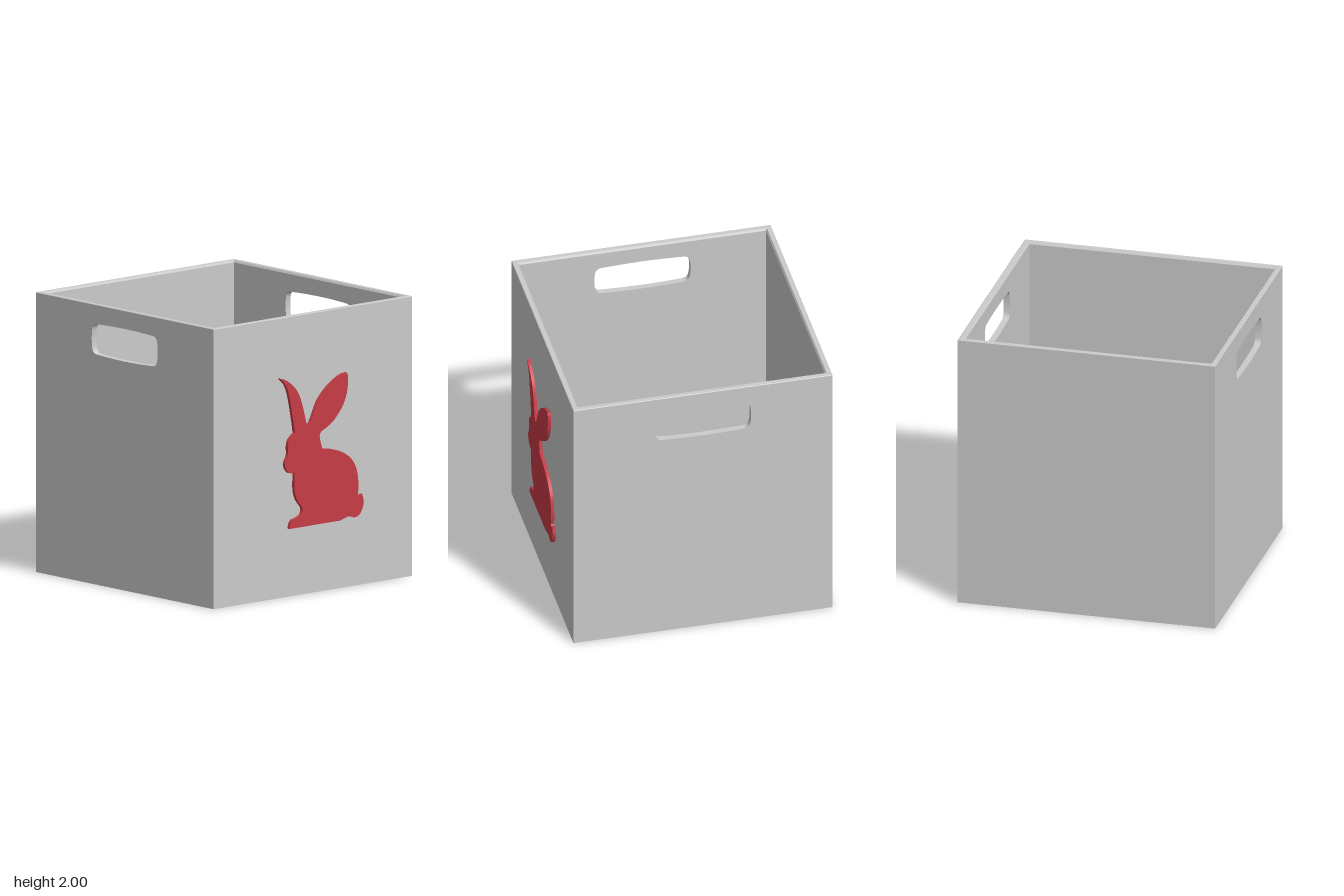
import * as THREE from 'three';

const HALF = 0.935;          // half width of the square box
const INNER = 0.89;          // half width of the cavity
const WALL = HALF - INNER;
const RIM = 1.985;           // height where the bevelled rim begins

const grey = new THREE.MeshStandardMaterial({ color: 0xcccccc });
const red = new THREE.MeshStandardMaterial({ color: 0xc83c46 });

function add(parent, name, geometry, material, x = 0, y = 0, z = 0) {
  const mesh = new THREE.Mesh(geometry, material);
  mesh.name = name;
  mesh.position.set(x, y, z);
  parent.add(mesh);
}

// Side wall with a gently bowed, round-cornered hand hole
function sideWallGeometry() {
  const shape = new THREE.Shape();
  shape.moveTo(-HALF, 0).lineTo(HALF, 0).lineTo(HALF, RIM).lineTo(-HALF, RIM).closePath();

  const hole = new THREE.Path();
  hole.moveTo(-0.3, 1.645);
  hole.quadraticCurveTo(0, 1.627, 0.3, 1.645);
  hole.quadraticCurveTo(0.335, 1.65, 0.342, 1.69);
  hole.quadraticCurveTo(0.352, 1.75, 0.342, 1.82);
  hole.quadraticCurveTo(0.335, 1.855, 0.3, 1.86);
  hole.quadraticCurveTo(0, 1.878, -0.3, 1.86);
  hole.quadraticCurveTo(-0.335, 1.855, -0.342, 1.82);
  hole.quadraticCurveTo(-0.352, 1.75, -0.342, 1.69);
  hole.quadraticCurveTo(-0.335, 1.65, -0.3, 1.645);
  shape.holes.push(hole);

  const geometry = new THREE.ExtrudeGeometry(shape, { depth: WALL, bevelEnabled: false, curveSegments: 8 });
  return geometry.rotateY(Math.PI / 2);
}

// Square rim, bevelled on both edges: a four-sided lathe
function rimGeometry() {
  const profile = [[HALF, RIM], [HALF, 1.996], [0.931, 2], [0.9, 2], [INNER, RIM]]
    .map(([r, y]) => new THREE.Vector2(r * Math.SQRT2, y));
  const geometry = new THREE.LatheGeometry(profile, 4, Math.PI / 4).toNonIndexed();
  geometry.computeVertexNormals();
  return geometry;
}

// Rabbit outline: smooth runs that meet at sharp corners
function rabbitGeometry() {
  const runs = [
    // tail
    [[0.23, 0.49], [0.31, 0.51], [0.37, 0.495], [0.42, 0.52], [0.45, 0.59], [0.435, 0.655]],
    [[0.41, 0.645], [0.395, 0.655]],
    // back and neck
    [[0.4, 0.73], [0.385, 0.83], [0.345, 0.905], [0.27, 0.965], [0.17, 1.005], [0.06, 1.025]],
    [[0.045, 1.07], [0.035, 1.12], [0.05, 1.15]],
    // rear ear
    [[0.15, 1.2], [0.24, 1.29], [0.29, 1.39], [0.303, 1.5], [0.29, 1.54]],
    [[0.22, 1.525], [0.11, 1.46], [0.02, 1.37], [-0.03, 1.27], [-0.06, 1.22], [-0.09, 1.22]],
    // front ear
    [[-0.11, 1.3], [-0.15, 1.42], [-0.2, 1.495], [-0.28, 1.555], [-0.34, 1.575]],
    [[-0.285, 1.52], [-0.25, 1.43], [-0.215, 1.26], [-0.2, 1.17]],
    // face
    [[-0.25, 1.13], [-0.265, 1.08], [-0.265, 1.02], [-0.293, 0.955], [-0.26, 0.895], [-0.2, 0.88]],
    // chest and foot
    [[-0.203, 0.77], [-0.18, 0.69], [-0.13, 0.625], [-0.14, 0.58], [-0.18, 0.56], [-0.23, 0.545], [-0.25, 0.49]],
  ];
  const shape = new THREE.Shape();
  shape.moveTo(-0.25, 0.49).lineTo(0.23, 0.49);
  for (const run of runs) shape.splineThru(run.map(([x, y]) => new THREE.Vector2(x, y)));
  return new THREE.ExtrudeGeometry(shape, { depth: 0.023, bevelEnabled: false, curveSegments: 3 });
}

export function createModel() {
  const model = new THREE.Group();
  model.name = 'storageBox';

  const box = new THREE.Group();
  box.name = 'box';
  box.position.z = -0.015;
  model.add(box);

  const side = sideWallGeometry();
  add(box, 'leftWall', side, grey, INNER);
  add(box, 'rightWall', side, grey, -HALF);

  const end = new THREE.BoxGeometry(2 * INNER, RIM, WALL);
  const endZ = (HALF + INNER) / 2;
  add(box, 'frontWall', end, grey, 0, RIM / 2, endZ);
  add(box, 'backWall', end, grey, 0, RIM / 2, -endZ);

  add(box, 'floor', new THREE.BoxGeometry(2 * INNER, WALL, 2 * INNER), grey, 0, WALL / 2);
  add(box, 'rim', rimGeometry(), grey);

  // Cut-out decoration just proud of the front wall
  add(model, 'rabbitDecoration', rabbitGeometry(), red, 0, 0, 0.93);
  return model;
}
